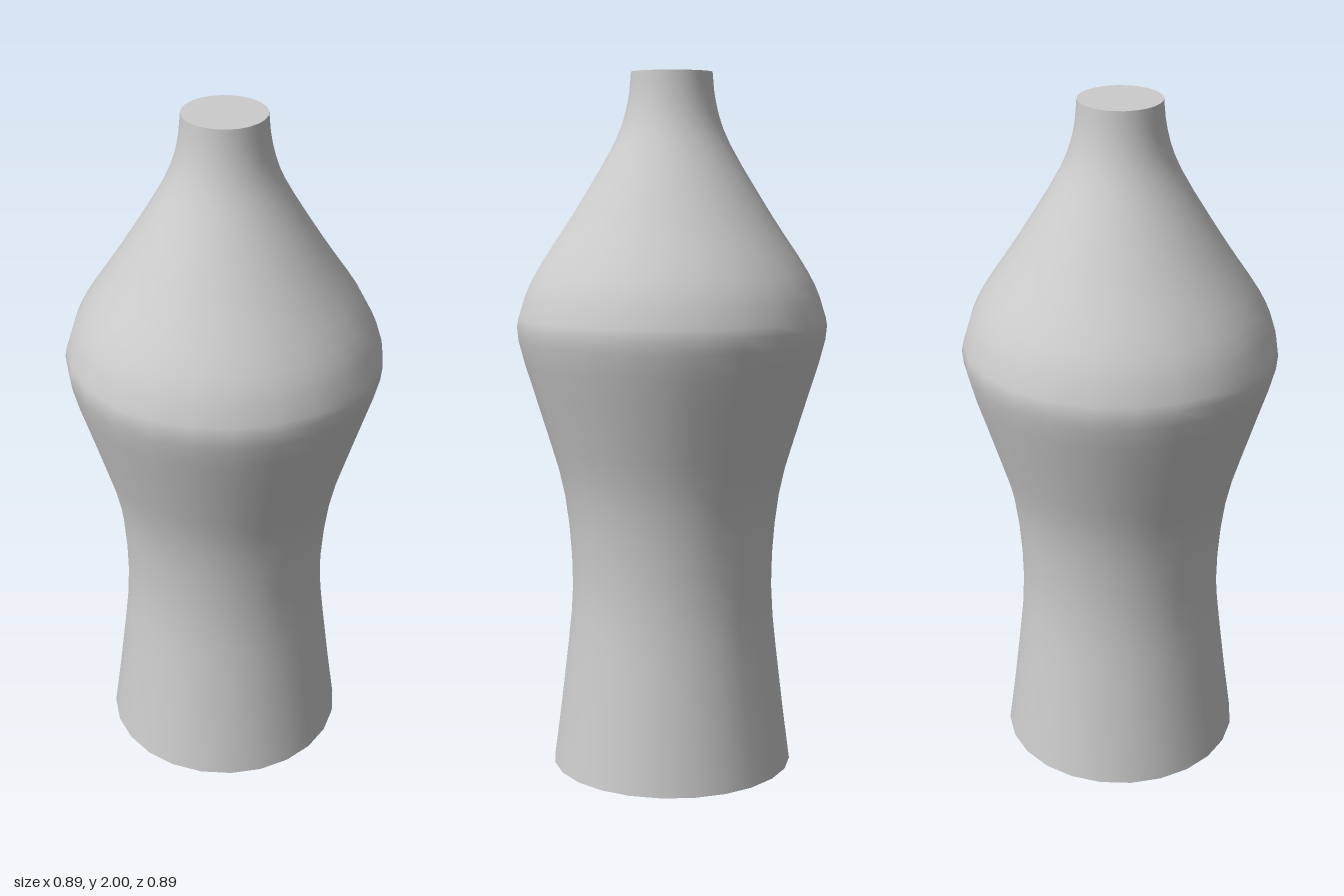
import * as THREE from 'three';

export function createModel() {
  const group = new THREE.Group();
  group.name = 'vase';
  const material = new THREE.MeshStandardMaterial({ color: 0xcccccc });
  const sides = 24;
  const height = 2, baseRadius = 0.35, neckRadius = 0.115;

  // Profile from foot to neck: narrow waist, full shoulder, slim neck
  const profile = new THREE.SplineCurve([
    [baseRadius, 0], [0.318, 0.25], [0.292, 0.53], [0.312, 0.8], [0.372, 1.02],
    [0.44, 1.25], [0.432, 1.34], [0.39, 1.44], [0.285, 1.6],
    [0.165, 1.8], [0.126, 1.91], [neckRadius, height],
  ].map(([r, y]) => new THREE.Vector2(r, y)));

  const body = new THREE.Mesh(new THREE.LatheGeometry(profile.getPoints(33), sides), material);
  body.name = 'body';
  group.add(body);

  // Flat discs closing both ends
  const addCap = (name, radius, y, tilt) => {
    const cap = new THREE.Mesh(new THREE.CircleGeometry(radius, sides), material);
    cap.name = name;
    cap.rotation.x = tilt;
    cap.position.y = y;
    group.add(cap);
  };
  addCap('baseCap', baseRadius, 0, Math.PI / 2);
  addCap('neckCap', neckRadius, height, -Math.PI / 2);

  return group;
}
